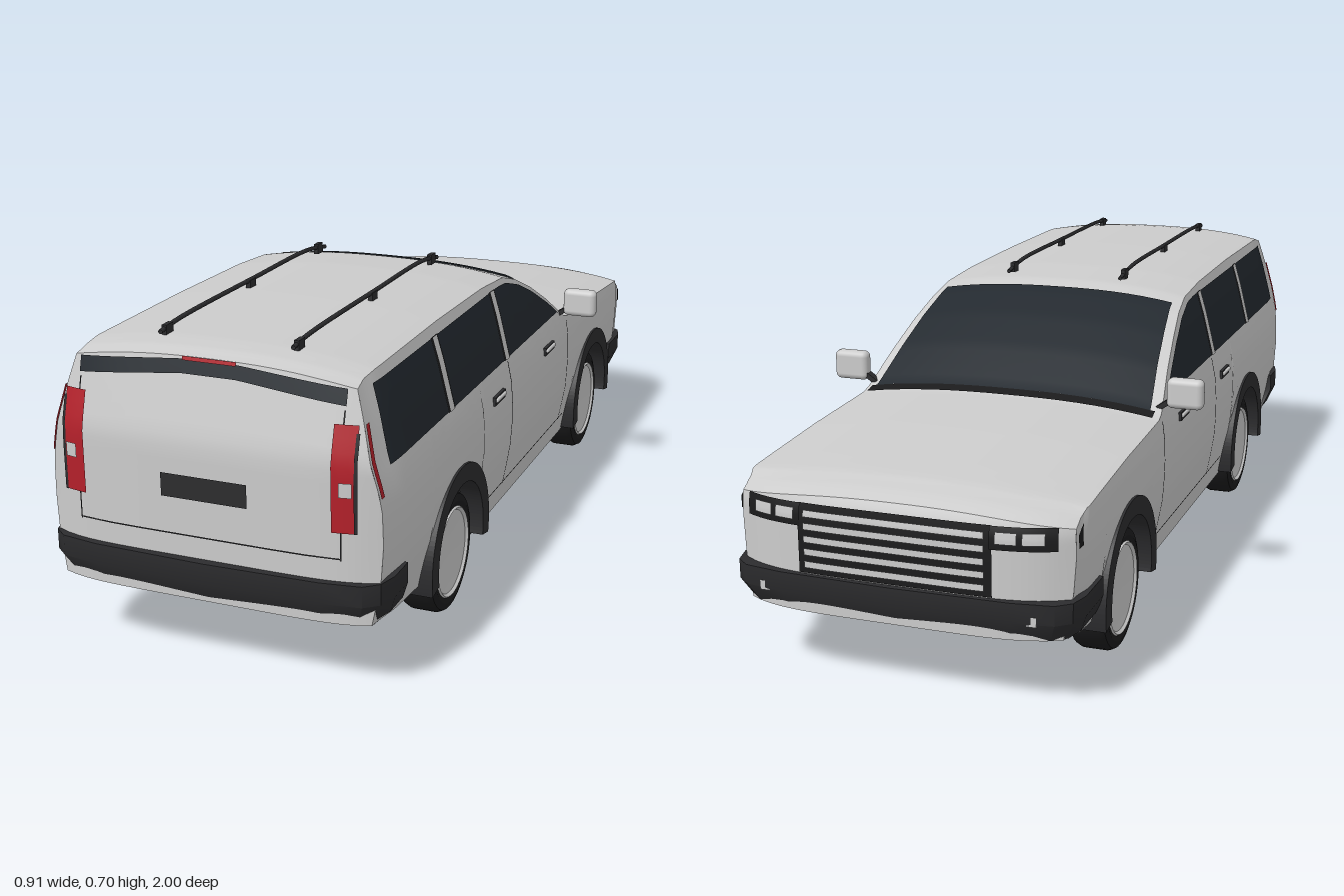
import * as THREE from 'three';
import { toCreasedNormals } from 'three/addons/utils/BufferGeometryUtils.js';
import { RoundedBoxGeometry } from 'three/addons/geometries/RoundedBoxGeometry.js';

const mat = (color) => new THREE.MeshStandardMaterial({ color, side: THREE.DoubleSide });
const paint = mat(0xcccccc), glass = mat(0x23292f), dark = mat(0x2c2c2e), black = mat(0x1b1b1c), red = mat(0xb3202a);
const { lerp, clamp, smoothstep } = THREE.MathUtils;
const REAR = 0.98, FRONT = -0.985, AXLES = [0.515, -0.6], SIDES = [1, -1];

// Piecewise linear curve through [position, value] pairs
const curve = (pts) => (a) => {
  let i = 1;
  while (i < pts.length - 1 && a > pts[i][0]) i++;
  const [a0, b0] = pts[i - 1], [a1, b1] = pts[i];
  return lerp(b0, b1, clamp((a - a0) / (a1 - a0), 0, 1));
};
const top = curve([[-0.985, 0.41], [-0.96, 0.425], [-0.9, 0.438], [-0.8, 0.446], [-0.6, 0.46], [-0.36, 0.47], [-0.33, 0.478],
  [-0.22, 0.55], [-0.12, 0.605], [-0.03, 0.645], [0.05, 0.668], [0.2, 0.678], [0.5, 0.682], [0.85, 0.679], [0.94, 0.674], [0.98, 0.664]]);
const width = curve([[0.1, 0.342], [0.16, 0.353], [0.25, 0.37], [0.33, 0.375], [0.4, 0.373], [0.44, 0.367], [0.48, 0.357], [0.58, 0.332], [0.66, 0.308]]);
const sill = curve([[-0.985, 0.158], [-0.75, 0.13], [-0.4, 0.105], [0.35, 0.105], [0.65, 0.13], [0.98, 0.163]]);
const edge = (z) => top(z) - 0.025;
const bottom = (z) => Math.max(sill(z), ...AXLES.map((a) => 0.15 + Math.sqrt(Math.max(0, 0.17 ** 2 - (z - a) ** 2)) - (Math.abs(z - a) > 0.17 ? 1 : 0)));

// Round the corners in plan and lean the tail and nose
function warp(x, y, z) {
  const r = smoothstep(z, 0.82, REAR), f = smoothstep(-z, 0.85, -FRONT), c = Math.abs(x) / 0.37;
  z -= r * (Math.max(0, y - 0.5) * 0.28 + 0.03 * c ** 6);
  z += f * (0.05 * c ** 5 + 6 * Math.max(0, y - 0.36) ** 2);
  return [x * (1 - 0.02 * r - 0.03 * f), y, z];
}
const onSide = (s, z, y, out = 0) => warp(s * (width(y) + out), y, z);
const onTop = (t, z, out = 0) => warp(t * width(edge(z)), top(z) - 0.025 * Math.abs(t) ** 2.5 + out, z);
const onEnd = (x, y, zEnd, out = 0) => { const p = warp(x, y, zEnd); p[2] += Math.sign(zEnd) * out; return p; };

// Surface patch from a rule f(u, v)
function patch(nu, nv, f) {
  const pos = [], idx = [];
  for (let j = 0; j <= nv; j++) for (let i = 0; i <= nu; i++) pos.push(...f(i / nu, j / nv));
  for (let j = 0; j < nv; j++) for (let i = 0; i < nu; i++) {
    const a = j * (nu + 1) + i, b = a + nu + 1;
    idx.push(a, a + 1, b, b, a + 1, b + 1);
  }
  const g = new THREE.BufferGeometry();
  g.setAttribute('position', new THREE.Float32BufferAttribute(pos, 3));
  g.setIndex(idx);
  return toCreasedNormals(g, 0.5);
}

export function createModel() {
  const car = new THREE.Group();
  car.name = 'estateCar';
  const add = (name, geo, m, x = 0, y = 0, z = 0) => {
    const mesh = new THREE.Mesh(geo, m);
    mesh.name = name;
    mesh.position.set(x, y, z);
    car.add(mesh);
    return mesh;
  };
  const sidePatch = (name, s, z0, z1, y0, y1, m, out) =>
    add(name, patch(Math.ceil(Math.abs(z1 - z0) / 0.02), 6, (u, v) => {
      const z = lerp(z0, z1, u), hi = Math.min(y1, edge(z) - 0.012);
      return onSide(s, z, lerp(Math.min(y0, hi), hi, v), out);
    }), m);
  const endPatch = (name, zEnd, x0, x1, y0, y1, m, out) =>
    add(name, patch(8, 4, (u, v) => onEnd(lerp(x0, x1, u), lerp(y0, y1, v), zEnd, out)), m);

  // Body shell
  for (const s of SIDES) add('bodySide', patch(160, 14, (u, v) => {
    const z = lerp(REAR, FRONT, u);
    return onSide(s, z, lerp(bottom(z), edge(z), v));
  }), paint);
  add('roofAndHood', patch(24, 160, (u, v) => onTop(2 * u - 1, lerp(REAR, FRONT, v))), paint);
  for (const [name, z] of [['tailgate', REAR], ['nose', FRONT]]) add(name, patch(24, 20, (u, v) => {
    const t = 2 * u - 1, y = lerp(sill(z), top(z) - 0.025 * Math.abs(t) ** 2.5, v);
    return warp(t * width(Math.min(y, edge(z))), y, z);
  }), paint);
  add('underside', patch(4, 40, (u, v) => {
    const z = lerp(REAR, FRONT, v);
    return warp((2 * u - 1) * width(sill(z)), sill(z), z);
  }), black);

  // Windscreen and cowl
  add('windscreen', patch(16, 24, (u, v) => onTop((2 * u - 1) * 0.93, lerp(0.0, -0.335, v), 0.005)), glass);
  add('cowl', patch(16, 3, (u, v) => onTop((2 * u - 1) * 0.96, lerp(-0.335, -0.365, v), 0.005)), black);

  for (const s of SIDES) {
    // Side windows, pillars and seams
    sidePatch('sideWindow', s, 0.9, -0.31, 0.478, 0.635, glass, 0.004);
    for (const z of [0.545, 0.158]) {
      sidePatch('pillarTrim', s, z + 0.02, z - 0.02, 0.478, 0.638, black, 0.006);
      sidePatch('pillar', s, z + 0.013, z - 0.013, 0.478, 0.638, paint, 0.008);
    }
    for (const z of [-0.338, 0.15]) sidePatch('doorSeam', s, z, z - 0.004, 0.16, 0.47, dark, 0.002);
    sidePatch('sillSeam', s, 0.3, -0.38, 0.163, 0.166, dark, 0.002);
    for (const z of [0.245, -0.165]) {
      add('handleRecess', new THREE.BoxGeometry(0.008, 0.02, 0.075), dark, s * 0.373, 0.412, z);
      add('doorHandle', new RoundedBoxGeometry(0.012, 0.01, 0.068, 2, 0.004), paint, s * 0.376, 0.414, z);
    }

    // Mirrors
    add('mirrorHousing', new RoundedBoxGeometry(0.085, 0.07, 0.034, 3, 0.014), paint, s * 0.413, 0.499, -0.308);
    const stem = add('mirrorStem', new THREE.BoxGeometry(0.04, 0.012, 0.02), dark, s * 0.367, 0.472, -0.308);
    stem.rotation.z = s * 0.6;

    // Roof rails
    const rail = new THREE.CatmullRomCurve3([[0.87, 0.685], [0.8, 0.692], [0.45, 0.694], [0.15, 0.692], [0.05, 0.678]]
      .map(([z, y]) => new THREE.Vector3(s * 0.147, y, z)));
    add('roofRail', new THREE.TubeGeometry(rail, 30, 0.005, 6), dark);
    for (const z of [0.84, 0.46, 0.09]) add('railFoot', new THREE.BoxGeometry(0.011, 0.024, 0.028), dark, s * 0.147, 0.683, z);

    // Tail lights wrapping round the corner
    add('tailLight', patch(3, 8, (u, v) => {
      const y = lerp(0.36, 0.575, v);
      return onEnd(s * lerp(0.278, Math.min(0.328, width(y) - 0.006), u), y, REAR, 0.007);
    }), red);
    sidePatch('tailLightSide', s, 0.965, 0.981, 0.43, 0.575, red, 0.004);
    endPatch('tailLightTrim', REAR, s * 0.324, s * 0.331, 0.36, 0.56, dark, 0.009);
    endPatch('reverseLight', REAR, s * 0.295, s * 0.321, 0.435, 0.465, paint, 0.011);
    endPatch('tailgateSeam', REAR, s * 0.294, s * 0.297, 0.3, 0.6, dark, 0.003);

    // Headlights and fog lights
    endPatch('headlight', FRONT, s * 0.21, s * 0.345, 0.345, 0.392, black, 0.006);
    sidePatch('headlightSide', s, -0.955, -0.985, 0.345, 0.392, black, 0.005);
    for (const x of [0.245, 0.3]) endPatch('headlightLens', FRONT, s * (x - 0.022), s * (x + 0.022), 0.358, 0.382, paint, 0.009);
    for (const x of [0.255, 0.29]) add('fogLight', new THREE.BoxGeometry(0.02, 0.02, 0.02), paint, s * x, 0.205, -0.977);

    // Wheels, wells and arch trims
    for (const z of AXLES) {
      const well = new THREE.Shape().absarc(0, 0, 0.174, -0.2, Math.PI + 0.2);
      add('wheelWell', new THREE.ExtrudeGeometry(well, { depth: 0.1, bevelEnabled: false, curveSegments: 32 }).rotateY(Math.PI / 2),
        black, s > 0 ? 0.2 : -0.3, 0.15, z);
      const arch = new THREE.Shape().absarc(0, 0, 0.19, -0.2, Math.PI + 0.2);
      arch.absarc(0, 0, 0.148, Math.PI + 0.2, -0.2, true);
      add('archTrim', new THREE.ExtrudeGeometry(arch, { depth: 0.05, bevelEnabled: false, curveSegments: 32 }).rotateY(Math.PI / 2),
        dark, s > 0 ? 0.33 : -0.38, 0.15, z);
      const lathe = (pts) => toCreasedNormals(new THREE.LatheGeometry(pts.map(([r, h]) => new THREE.Vector2(r, h)), 40).rotateZ(-s * Math.PI / 2), 0.5);
      add('tyre', lathe([[0, -0.042], [0.115, -0.042], [0.13, -0.038], [0.136, -0.026], [0.136, 0.026], [0.13, 0.038], [0.115, 0.043], [0.103, 0.04]]),
        black, s * 0.317, 0.136, z);
      add('wheelDisc', lathe([[0.104, 0.038], [0.1, 0.044], [0.094, 0.038], [0.04, 0.034], [0, 0.034]]), paint, s * 0.317, 0.136, z);
    }
  }

  // Bumpers: plan outline raised and tapered towards the bottom
  const bumper = (name, end, inner, y0, y1) => {
    const half = [[0.377, inner], [0.377, 0.91], [0.365, 0.955], [0.335, 0.98], [0.25, 0.993], [0, 1]];
    const pts = [...half, ...half.slice(0, -1).reverse().map(([x, z]) => [-x, z])].map(([x, z]) => new THREE.Vector2(x, z));
    const g = new THREE.ExtrudeGeometry(new THREE.Shape(pts), { depth: y1 - y0, bevelEnabled: false, steps: 2 }).rotateX(Math.PI / 2);
    const p = g.attributes.position;
    for (let i = 0; i < p.count; i++) {
      const k = 1 + 0.55 * Math.min(0, p.getY(i) + (y1 - y0) / 2);
      p.setXYZ(i, p.getX(i) * (2 * k - 1), p.getY(i), p.getZ(i) * k);
    }
    if (end < 0) g.rotateY(Math.PI);
    g.deleteAttribute('normal');
    add(name, toCreasedNormals(g, 0.6), dark, 0, y1, 0);
  };
  bumper('rearBumper', 1, 0.84, 0.165, 0.255);
  bumper('frontBumper', -1, 0.8, 0.158, 0.242);

  // Rear window, brake light, plate panel and lower seam
  add('rearWindow', patch(20, 3, (u, v) => {
    const x = lerp(-0.298, 0.298, u), k = Math.min(1, (0.298 - Math.abs(x)) / 0.235);
    return onEnd(x, lerp(0.608 + 0.024 * k, 0.64 + 0.02 * k, v), REAR, 0.005);
  }), glass);
  endPatch('brakeLight', REAR, -0.06, 0.06, 0.658, 0.666, red, 0.008);
  endPatch('platePanel', REAR, -0.098, 0.096, 0.382, 0.432, dark, 0.004);
  endPatch('tailgateSeam', REAR, -0.295, 0.295, 0.302, 0.305, dark, 0.003);

  // Grille with horizontal bars
  endPatch('grille', FRONT, -0.215, 0.215, 0.245, 0.392, black, 0.004);
  for (let i = 0; i < 5; i++) {
    const y = 0.258 + i * 0.027;
    endPatch('grilleBar', FRONT, -0.2, 0.2, y, y + 0.014, paint, 0.009);
  }
  return car;
}
